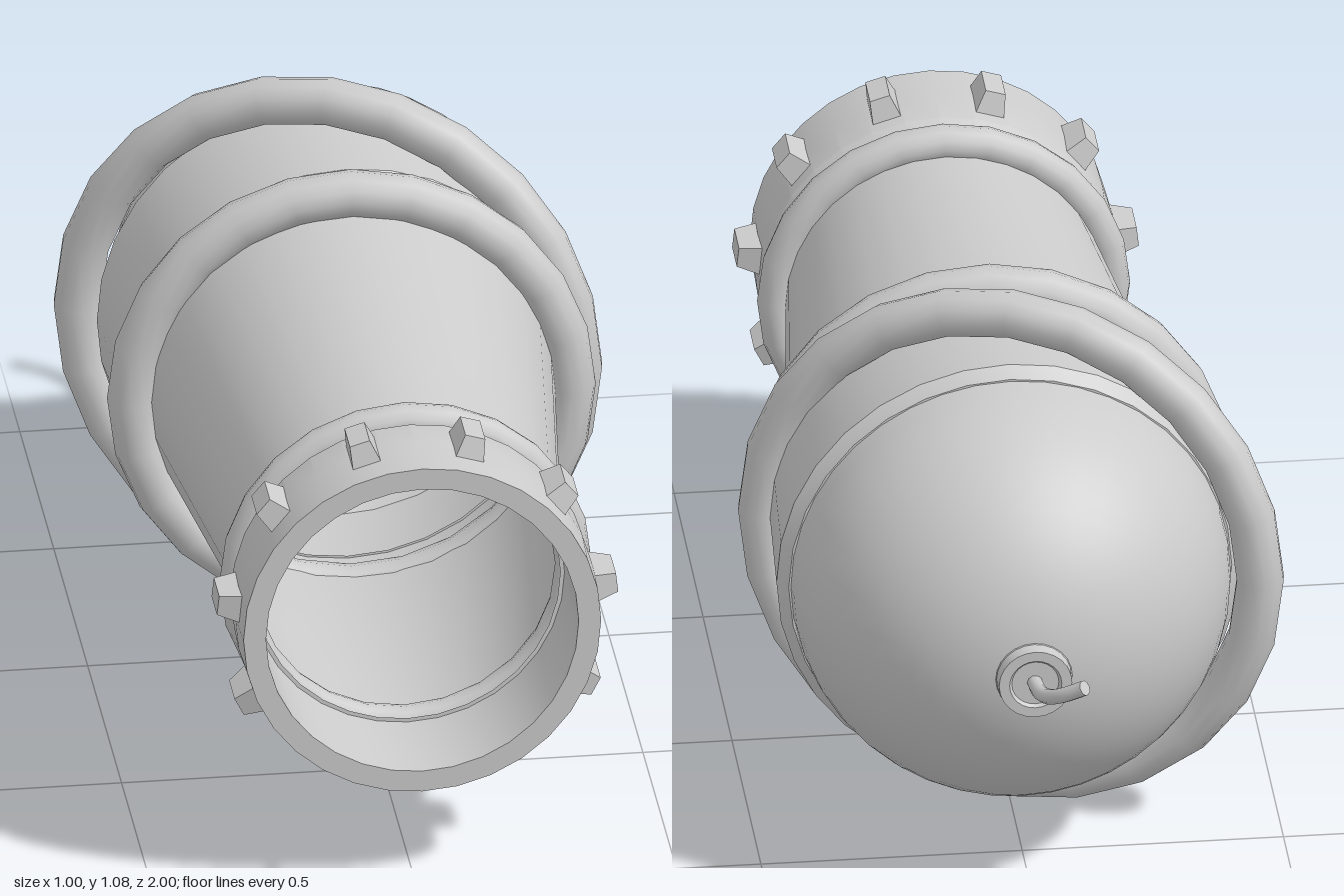
import * as THREE from 'three';
import { toCreasedNormals } from 'three/addons/utils/BufferGeometryUtils.js';

const AXIS_X = 0.012, AXIS_Y = 0.545;

export function createModel() {
  const model = new THREE.Group();
  model.name = 'cannon';
  // Everything is built around the bore axis (local z), then moved to height
  const cannon = new THREE.Group();
  cannon.name = 'cannonBody';
  cannon.position.set(AXIS_X, AXIS_Y, 0);
  model.add(cannon);

  const grey = new THREE.MeshStandardMaterial({ color: 0xcccccc });
  const shell = new THREE.MeshStandardMaterial({ color: 0xcccccc, side: THREE.DoubleSide });

  const add = (name, geometry, material = grey, parent = cannon) => {
    const mesh = new THREE.Mesh(geometry, material);
    mesh.name = name;
    parent.add(mesh);
    return mesh;
  };

  // Turned part: profile of [radius, z] with z running forward
  const turned = (name, profile, segments = 32) => {
    const g = new THREE.LatheGeometry(profile.map(([r, z]) => new THREE.Vector2(r, z)), segments);
    g.rotateX(Math.PI / 2);
    return add(name, toCreasedNormals(g, 0.5), shell);
  };

  // Barrel, open into the chamber, with a thin lip at the mouth
  turned('barrel', [[0.396, -0.11], [0.304, 0.74], [0.304, 0.79], [0.292, 0.79]]);

  // Muzzle collar with a hollow centre
  turned('muzzleCollar', [[0.30, 0.79], [0.332, 0.79], [0.343, 0.81], [0.346, 0.9],
    [0.343, 1], [0.30, 1], [0.30, 0.79]]);

  // Chamber band, with a bevelled rear rim
  turned('chamber', [[0.415, -0.402], [0.424, -0.402], [0.445, -0.38], [0.428, -0.11],
    [0.42, -0.1], [0.39, -0.1]]);

  // Rounded rear
  const dome = [];
  for (let i = 0; i <= 16; i++) {
    const a = (i / 16) * Math.PI / 2;
    dome.push([0.42 * Math.sin(a), -0.4 - 0.42 * Math.cos(a)]);
  }
  turned('dome', dome, 40);

  // Fuse socket passing through the dome
  turned('fuseSocket', [[0.014, -0.835], [0.045, -0.835], [0.05, -0.842], [0.07, -0.842],
    [0.072, -0.815], [0.085, -0.8], [0.04, -0.792], [0.014, -0.792]], 24);

  // Curved fuse
  const fusePath = new THREE.CatmullRomCurve3([
    [0, 0, -0.79], [0, 0.002, -0.85], [-0.01, 0.012, -0.91], [-0.036, 0.036, -0.958], [-0.078, 0.066, -0.988],
  ].map((p) => new THREE.Vector3(...p)));
  add('fuse', new THREE.TubeGeometry(fusePath, 16, 0.015, 10), shell);
  const end = add('fuseTip', new THREE.CircleGeometry(0.015, 10), shell);
  end.position.copy(fusePath.getPoint(1));
  end.quaternion.setFromUnitVectors(new THREE.Vector3(0, 0, 1), fusePath.getTangent(1));

  // Rings: [name, major radius, tube radius, x, z, tilt about y]
  for (const [name, major, tube, x, z, tilt] of [
    ['neckRing', 0.322, 0.035, 0, 0.75, 0],
    ['frontHoop', 0.42, 0.046, -0.003, -0.024, -0.062],
    ['tiltedHoop', 0.495, 0.046, -0.016, -0.27, -0.4],
  ]) {
    const ring = add(name, new THREE.TorusGeometry(major, tube, 12, 24));
    ring.position.set(x, 0, z);
    ring.rotation.y = tilt;
  }

  // Tapered studs over the upper part of the collar
  const studShape = new THREE.BoxGeometry(0.066, 0.07, 0.12);
  const pos = studShape.attributes.position;
  for (let i = 0; i < pos.count; i++) {
    if (pos.getY(i) > 0) pos.setXYZ(i, pos.getX(i) * 0.6, pos.getY(i), pos.getZ(i) * 0.66);
  }
  studShape.computeVertexNormals();
  const studs = new THREE.Group();
  studs.name = 'studs';
  cannon.add(studs);
  for (let i = 0; i < 8; i++) {
    const a = (i - 3.5) * THREE.MathUtils.degToRad(33.5);
    const stud = add('stud', studShape, grey, studs);
    stud.position.set(Math.sin(a) * 0.35, Math.cos(a) * 0.35, 0.89);
    stud.rotation.z = -a;
  }

  return model;
}
